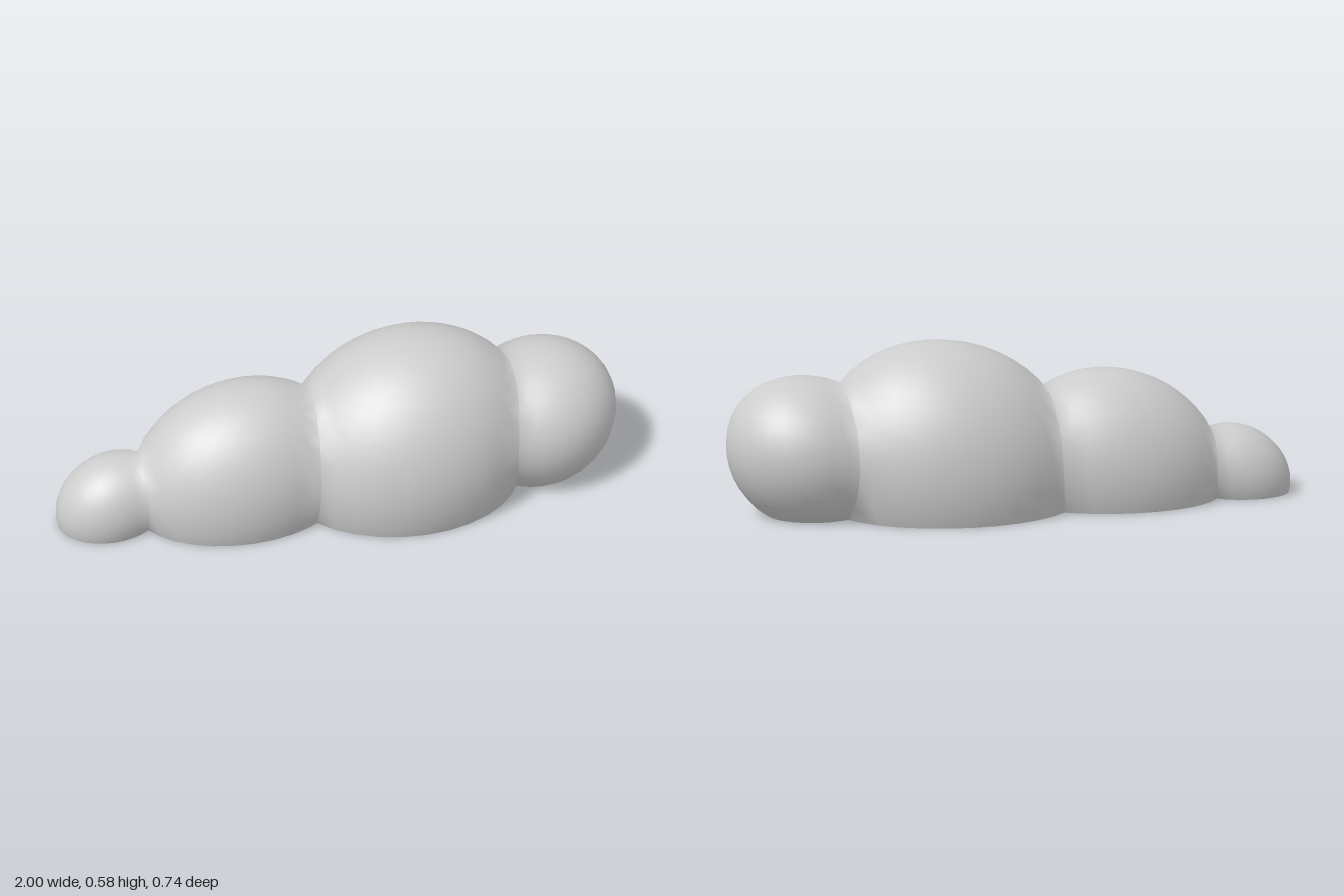
import * as THREE from 'three';

// Each lobe: centre x and y, radii, forward lean of x with height, squareness of profile
const LOBES = [
  { name: 'tailLobe', cx: -0.81, cy: 0.07, rx: 0.19, ry: 0.18, rz: 0.16, lean: 0.2, n: 2 },
  { name: 'rearLobe', cx: -0.35, cy: 0.12, rx: 0.39, ry: 0.345, rz: 0.28, lean: 0.12, n: 2 },
  { name: 'middleLobe', cx: 0.24, cy: 0.15, rx: 0.45, ry: 0.428, rz: 0.37, lean: 0.1, n: 2.1 },
  { name: 'frontLobe', cx: 0.72, cy: 0.21, rx: 0.28, ry: 0.26, rz: 0.278, lean: 0.1, n: 2.1 },
];
const SEGMENTS = 32, ROWS = 16;

// Horizontal scale of a lobe at normalised height v (-1 to 1)
const spread = (l, v) => Math.pow(Math.max(0, 1 - Math.pow(Math.abs(v), l.n)), 1 / l.n);

// Outward direction and approximate distance from a lobe's surface
function field(l, p) {
  const X = (p.x - l.cx - l.lean * (p.y - l.cy)) / l.rx;
  const Y = (p.y - l.cy) / l.ry, Z = p.z / l.rz;
  const f = Math.max(1e-6, Math.hypot(X, Y, Z));
  const g = new THREE.Vector3(X / l.rx, Y / l.ry - l.lean * X / l.rx, Z / l.rz).divideScalar(f);
  const slope = g.length() || 1;
  return { dir: g.divideScalar(slope), dist: (f - 1) / slope };
}

// Normals melt together where lobes meet
function blendedNormal(own, p) {
  const normal = field(own, p).dir.clone();
  for (const l of LOBES) {
    if (l === own) continue;
    const { dir, dist } = field(l, p);
    normal.addScaledVector(dir, Math.exp(-Math.max(0, dist) / 0.025));
  }
  return normal.normalize();
}

// Dome cut off at the ground
function domeGeometry(l) {
  const cut = Math.acos(-l.cy / l.ry);
  const geo = new THREE.SphereGeometry(1, SEGMENTS, ROWS, 0, Math.PI * 2, 0, cut);
  const pos = geo.attributes.position, nor = geo.attributes.normal;
  const p = new THREE.Vector3();
  for (let i = 0; i < pos.count; i++) {
    p.fromBufferAttribute(pos, i);
    const v = p.y, ring = Math.hypot(p.x, p.z);
    const k = ring > 1e-6 ? spread(l, v) / ring : 0;
    const y = Math.max(0, l.cy + l.ry * v);
    p.set(l.cx + l.lean * (y - l.cy) + l.rx * p.x * k, y, l.rz * p.z * k);
    pos.setXYZ(i, p.x, p.y, p.z);
    const n = blendedNormal(l, p);
    nor.setXYZ(i, n.x, n.y, n.z);
  }
  return geo;
}

// Flat underside closing the dome
function baseGeometry(l) {
  const s = spread(l, -l.cy / l.ry);
  return new THREE.CircleGeometry(1, SEGMENTS)
    .rotateX(Math.PI / 2)
    .scale(l.rx * s, 1, l.rz * s)
    .translate(l.cx - l.lean * l.cy, 0, 0);
}

export function createModel() {
  const model = new THREE.Group();
  model.name = 'lobedMound';
  const grey = new THREE.MeshStandardMaterial({ color: 0xcccccc });
  grey.name = 'light grey';

  for (const l of LOBES) {
    const lobe = new THREE.Group();
    lobe.name = l.name;
    const dome = new THREE.Mesh(domeGeometry(l), grey);
    dome.name = l.name + 'Dome';
    const base = new THREE.Mesh(baseGeometry(l), grey);
    base.name = l.name + 'Base';
    lobe.add(dome, base);
    model.add(lobe);
  }
  return model;
}
